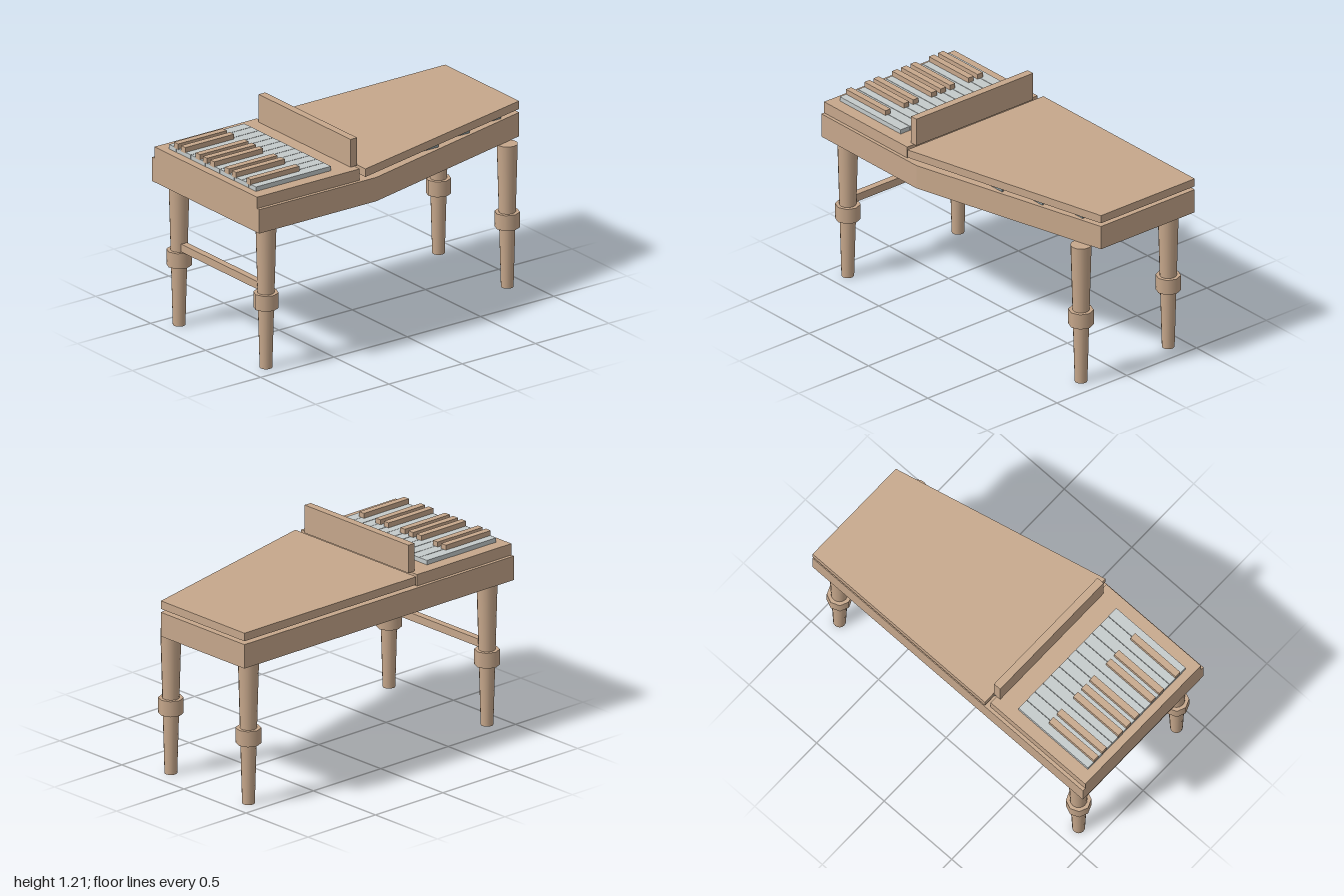
import * as THREE from 'three';

const mat = (name, color) => {
  const m = new THREE.MeshStandardMaterial({ color });
  m.name = name;
  return m;
};

export function createModel() {
  const wood = mat('wood', 0xc6a78b);
  const ivory = mat('paleKeys', 0xc4caca);
  const steel = mat('steelStrings', 0x8c9ca0);
  const model = new THREE.Group();
  model.name = 'keyboardInstrument';

  const add = (parent, name, geometry, material, x = 0, y = 0, z = 0) => {
    const mesh = new THREE.Mesh(geometry, material);
    mesh.name = name;
    mesh.position.set(x, y, z);
    parent.add(mesh);
    return mesh;
  };
  // Box given by its limits on each axis
  const box = (parent, name, material, [x0, x1], [y0, y1], [z0, z1]) =>
    add(parent, name, new THREE.BoxGeometry(x1 - x0, y1 - y0, z1 - z0), material,
      (x0 + x1) / 2, (y0 + y1) / 2, (z0 + z1) / 2);
  // Flat slab from an outline of [x, z] points
  const slab = (name, outline, y0, y1) => {
    const shape = new THREE.Shape(outline.map(([x, z]) => new THREE.Vector2(x, -z)));
    const g = new THREE.ExtrudeGeometry(shape, { depth: y1 - y0, bevelEnabled: false });
    g.rotateX(-Math.PI / 2);
    return add(model, name, g, wood, 0, y0, 0);
  };

  // Case with one slanted side, and the lid floating just above it
  const W = 0.487, tailX = 0.185;
  slab('case', [[-W, 1], [W, 1], [W, 0.2], [tailX, -1], [-W, -1]], 0.84, 0.98);
  slab('lid', [[-W, 0.275], [W, 0.275], [tailX, -1], [-W, -1]], 1.0, 1.047);
  box(model, 'keyBlock', wood, [-0.467, 0.467], [0.98, 1.047], [0.3, 1]);
  box(model, 'musicDesk', wood, [-0.418, 0.418], [1.047, 1.21], [0.28, 0.325]);

  // Strings under the lid, shortened along the slanted side
  const strings = new THREE.Group();
  strings.name = 'strings';
  model.add(strings);
  for (let i = 0; i < 12; i++) {
    const x = -0.4 + i * 0.066;
    const slantZ = 0.2 - (1.2 * (W - x)) / (W - tailX);
    const back = Math.max(-0.95, slantZ + 0.1);
    box(strings, 'string', steel, [x - 0.006, x + 0.006], [0.98, 1.002], [back, 0.275]);
  }

  // Keyboard
  const keyboard = new THREE.Group();
  keyboard.name = 'keyboard';
  model.add(keyboard);
  const pitch = 0.066;
  for (let i = 0; i < 12; i++) {
    const x = (i - 5.5) * pitch;
    box(keyboard, 'naturalKey', ivory, [x - 0.0315, x + 0.0315], [1.047, 1.073], [0.44, 0.953]);
  }
  for (const i of [-5, -4, -2, -1, 0, 2, 3, 5]) {
    const x = i * pitch;
    box(keyboard, 'raisedKey', wood, [x - 0.019, x + 0.019], [1.068, 1.102], [0.622, 0.955]);
  }

  // Tapered legs with collars
  const legGeometry = new THREE.CylinderGeometry(0.058, 0.035, 0.84, 16);
  const collarGeometry = new THREE.CylinderGeometry(0.07, 0.07, 0.09, 8);
  for (const [name, x, z] of [
    ['frontLeftLeg', 0.395, 0.885], ['frontRightLeg', -0.395, 0.885],
    ['backLeftLeg', 0.23, -0.885], ['backRightLeg', -0.395, -0.885],
  ]) {
    const leg = new THREE.Group();
    leg.name = name;
    leg.position.set(x, 0, z);
    add(leg, 'shaft', legGeometry, wood, 0, 0.42, 0);
    add(leg, 'collar', collarGeometry, wood, 0, 0.396, 0);
    model.add(leg);
  }

  // Bar joining the front legs
  box(model, 'stretcher', wood, [-0.36, 0.36], [0.445, 0.49], [0.865, 0.905]);

  return model;
}
